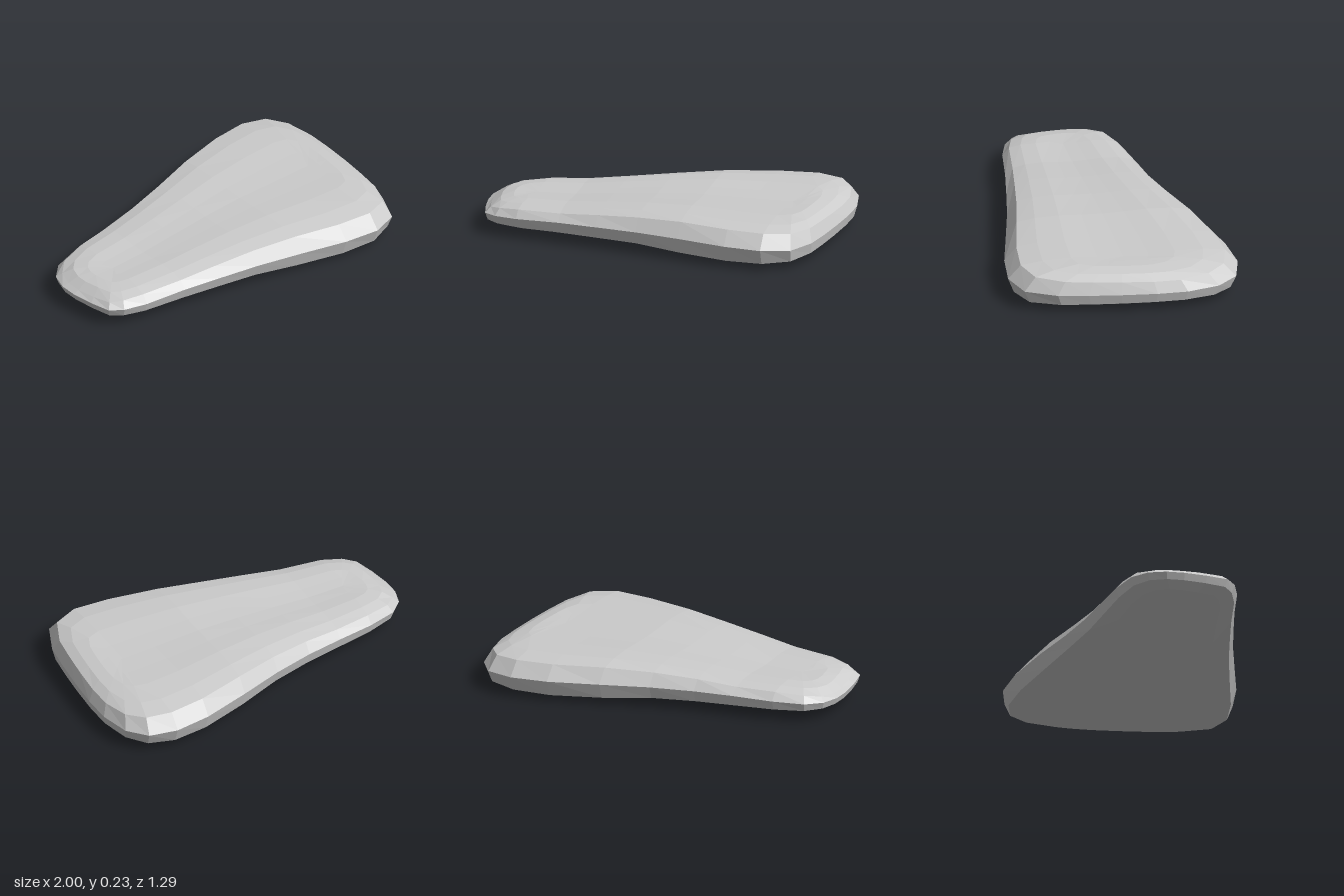
import * as THREE from 'three';

// Outline seen from above, [x, z], from the narrow end along the back and round to the front
const OUTLINE = [
  [-1, 0], [-0.97, -0.1], [-0.89, -0.18], [-0.72, -0.24], [-0.5, -0.29], [-0.28, -0.34],
  [-0.04, -0.415], [0.22, -0.515], [0.5, -0.61], [0.71, -0.645], [0.87, -0.61], [0.96, -0.5],
  [1, -0.32], [1, -0.15], [0.985, 0.05], [0.965, 0.23], [0.94, 0.4], [0.865, 0.575],
  [0.71, 0.643], [0.5, 0.63], [0.22, 0.575], [-0.04, 0.525], [-0.28, 0.49], [-0.5, 0.46],
  [-0.75, 0.435], [-0.88, 0.4], [-0.95, 0.35], [-0.98, 0.23], [-1, 0.1],
];

// Height profiles along the length, [x, y]
const TOP = [[-1, 0.14], [-0.9, 0.17], [-0.75, 0.184], [-0.5, 0.188], [-0.28, 0.206], [0, 0.225],
  [0.25, 0.233], [0.5, 0.226], [0.8, 0.221], [0.95, 0.2], [1, 0.18]];
const MIDDLE = [[-1, 0.11], [-0.5, 0.125], [0.1, 0.131], [0.7, 0.122], [1, 0.11]];
const BOTTOM = [[-1, 0.038], [-0.85, 0.032], [0, 0.024], [0.2, 0.008], [0.5, 0], [0.75, 0.004],
  [0.92, 0.014], [1, 0.02]];

// Rings from the underside to the top: [profile, inset towards the spine, height offset]
const RINGS = [
  [BOTTOM, 1, 0], [BOTTOM, 0.65, 0.001], [BOTTOM, 0.28, 0.005], [BOTTOM, 0.05, 0.034],
  [MIDDLE, 0, 0],
  [TOP, 0.11, -0.022], [TOP, 0.3, -0.005], [TOP, 0.55, 0], [TOP, 0.78, -0.006], [TOP, 1, -0.009],
];

function sample(profile, x) {
  for (let i = 1; i < profile.length; i++) {
    const [x0, y0] = profile[i - 1], [x1, y1] = profile[i];
    if (x <= x1) return THREE.MathUtils.mapLinear(Math.max(x, x0), x0, x1, y0, y1);
  }
  return profile[profile.length - 1][1];
}

// Each ring is the outline drawn in towards a slightly slanted spine
function ringPoint([profile, inset, offset], [x, z]) {
  const sx = THREE.MathUtils.clamp(x, -0.72, 0.72);
  const sz = 0.05 - 0.07 * sx;
  const px = THREE.MathUtils.lerp(x, sx, inset);
  return [px, sample(profile, px) + offset, THREE.MathUtils.lerp(z, sz, inset)];
}

function slabGeometry() {
  const positions = [], index = [], n = OUTLINE.length;
  for (const ring of RINGS) for (const p of OUTLINE) positions.push(...ringPoint(ring, p));
  for (let r = 0; r < RINGS.length - 1; r++) {
    for (let i = 0; i < n; i++) {
      const j = (i + 1) % n;
      const a = r * n + i, b = r * n + j, c = b + n, d = a + n;
      index.push(a, d, c, a, c, b);
    }
  }
  const geometry = new THREE.BufferGeometry();
  geometry.setAttribute('position', new THREE.Float32BufferAttribute(positions, 3));
  geometry.setIndex(index);
  geometry.computeVertexNormals();
  return geometry;
}

export function createModel() {
  const group = new THREE.Group();
  const material = new THREE.MeshStandardMaterial({ color: 0xcccccc, flatShading: true });
  const slab = new THREE.Mesh(slabGeometry(), material);
  slab.name = 'taperedSlab';
  group.add(slab);
  return group;
}
